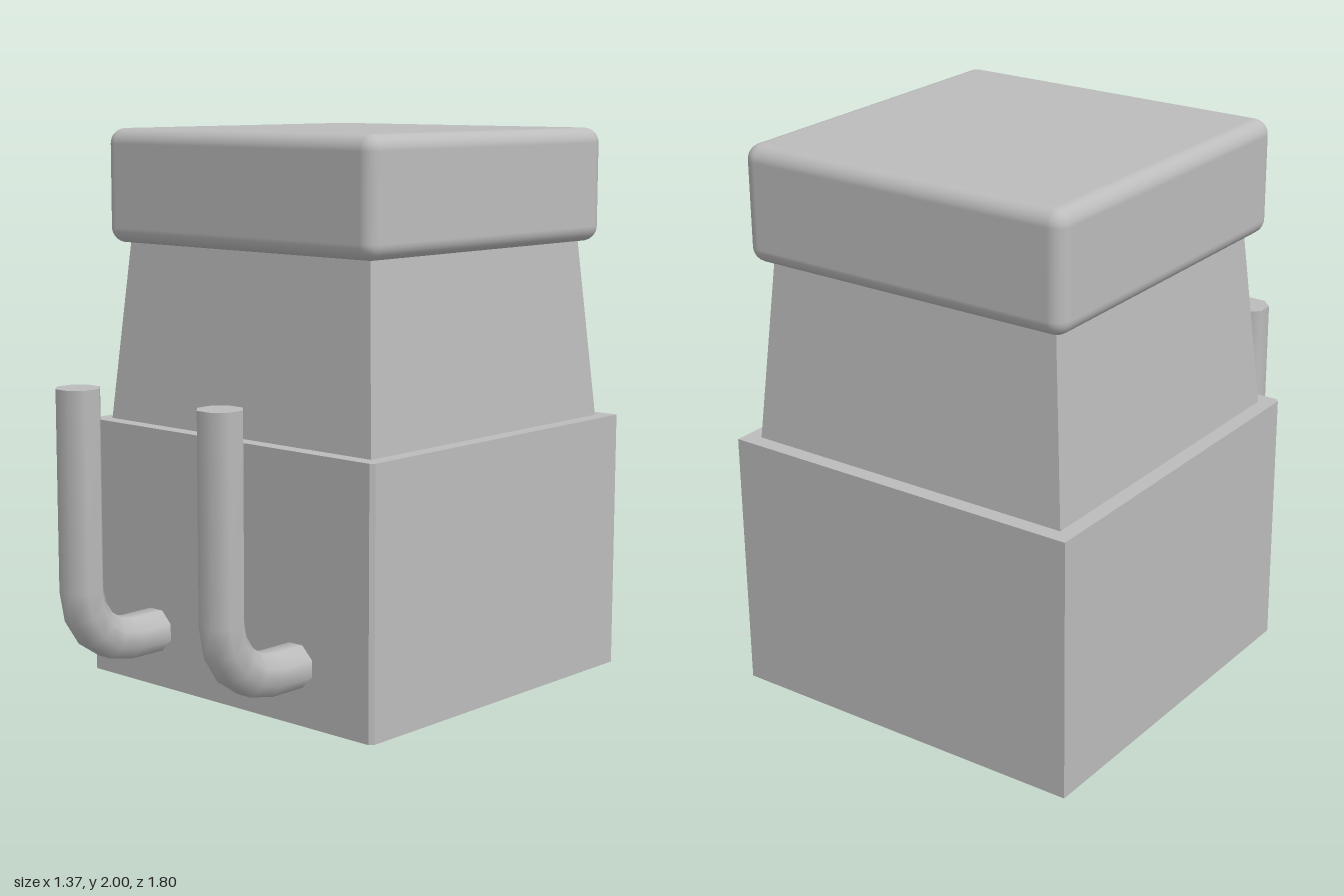
import * as THREE from 'three';
import { toCreasedNormals } from 'three/addons/utils/BufferGeometryUtils.js';
import { RoundedBoxGeometry } from 'three/addons/geometries/RoundedBoxGeometry.js';

const CENTRE_Z = -0.21;
const HALF = 0.687;

// Square block with small chamfers on its two front vertical edges and optional holes
function blockGeometry(y0, y1, holes) {
  const c = 0.014;
  const s = new THREE.Shape();
  s.moveTo(-HALF, HALF);
  s.lineTo(-HALF, -HALF + c);
  s.lineTo(-HALF + c, -HALF);
  s.lineTo(HALF - c, -HALF);
  s.lineTo(HALF, -HALF + c);
  s.lineTo(HALF, HALF);
  s.closePath();
  for (const [x, y] of holes) {
    const h = new THREE.Path();
    h.absarc(x, y, 0.024, 0, Math.PI * 2, true);
    s.holes.push(h);
  }
  const g = new THREE.ExtrudeGeometry(s, { depth: y1 - y0, bevelEnabled: false, curveSegments: 4 });
  g.rotateX(-Math.PI / 2);
  g.translate(0, y0, CENTRE_Z);
  return g;
}

// Bent octagonal rod: out of the front, then straight up
function hookGeometry() {
  const sides = 8, r = 0.08, bend = 0.21, steps = 4;
  const rings = [[0.46, 0.21, 0]];
  for (let i = 0; i <= steps; i++) {
    const a = (i / steps) * Math.PI / 2;
    rings.push([0.62 + bend * Math.sin(a), 0.21 + bend * (1 - Math.cos(a)), a]);
  }
  rings.push([0.83, 1.13, Math.PI / 2]);

  const pos = [], index = [];
  for (const [z, y, a] of rings) {
    for (let j = 0; j < sides; j++) {
      const t = ((j + 0.5) / sides) * Math.PI * 2;
      const n = r * Math.sin(t);
      pos.push(r * Math.cos(t), y + n * Math.cos(a), z - n * Math.sin(a));
    }
  }
  for (let i = 0; i < rings.length - 1; i++) {
    for (let j = 0; j < sides; j++) {
      const k = (j + 1) % sides;
      const a = i * sides + j, b = i * sides + k;
      index.push(a, b, b + sides, a, b + sides, a + sides);
    }
  }
  // flat top end
  const last = (rings.length - 1) * sides;
  for (let j = 1; j < sides - 1; j++) index.push(last, last + j, last + j + 1);

  const g = new THREE.BufferGeometry();
  g.setAttribute('position', new THREE.Float32BufferAttribute(pos, 3));
  g.setIndex(index);
  return toCreasedNormals(g, 0.9);
}

export function createModel() {
  const group = new THREE.Group();
  const grey = new THREE.MeshStandardMaterial({ color: 0xbcbcbc });
  grey.name = 'plain grey';

  const add = (name, geometry) => {
    const mesh = new THREE.Mesh(geometry, grey);
    mesh.name = name;
    group.add(mesh);
    return mesh;
  };

  // Base, with six blind screw holes underneath
  const holes = [];
  for (const x of [-1, 1]) for (const z of [-1, 0, 1]) holes.push([x * 0.618, z * 0.618]);
  add('baseLower', blockGeometry(0, 0.3, holes));
  add('baseUpper', blockGeometry(0.3, 0.945, []));

  // Neck tapering towards the top
  const neck = new THREE.BoxGeometry(1.26, 0.67, 1.26);
  const p = neck.attributes.position;
  for (let i = 0; i < p.count; i++) {
    if (p.getY(i) > 0) {
      p.setX(i, p.getX(i) * 0.91);
      p.setZ(i, p.getZ(i) * 0.91);
    }
  }
  neck.computeVertexNormals();
  add('neck', neck).position.set(0, 0.945 + 0.335, CENTRE_Z);

  // Rounded cap
  add('cap', new RoundedBoxGeometry(1.28, 0.41, 1.28, 4, 0.055)).position.set(0, 1.795, CENTRE_Z);

  // Pair of front hooks
  const hook = hookGeometry();
  add('rightHook', hook).position.x = -0.345;
  add('leftHook', hook).position.x = 0.345;

  return group;
}
